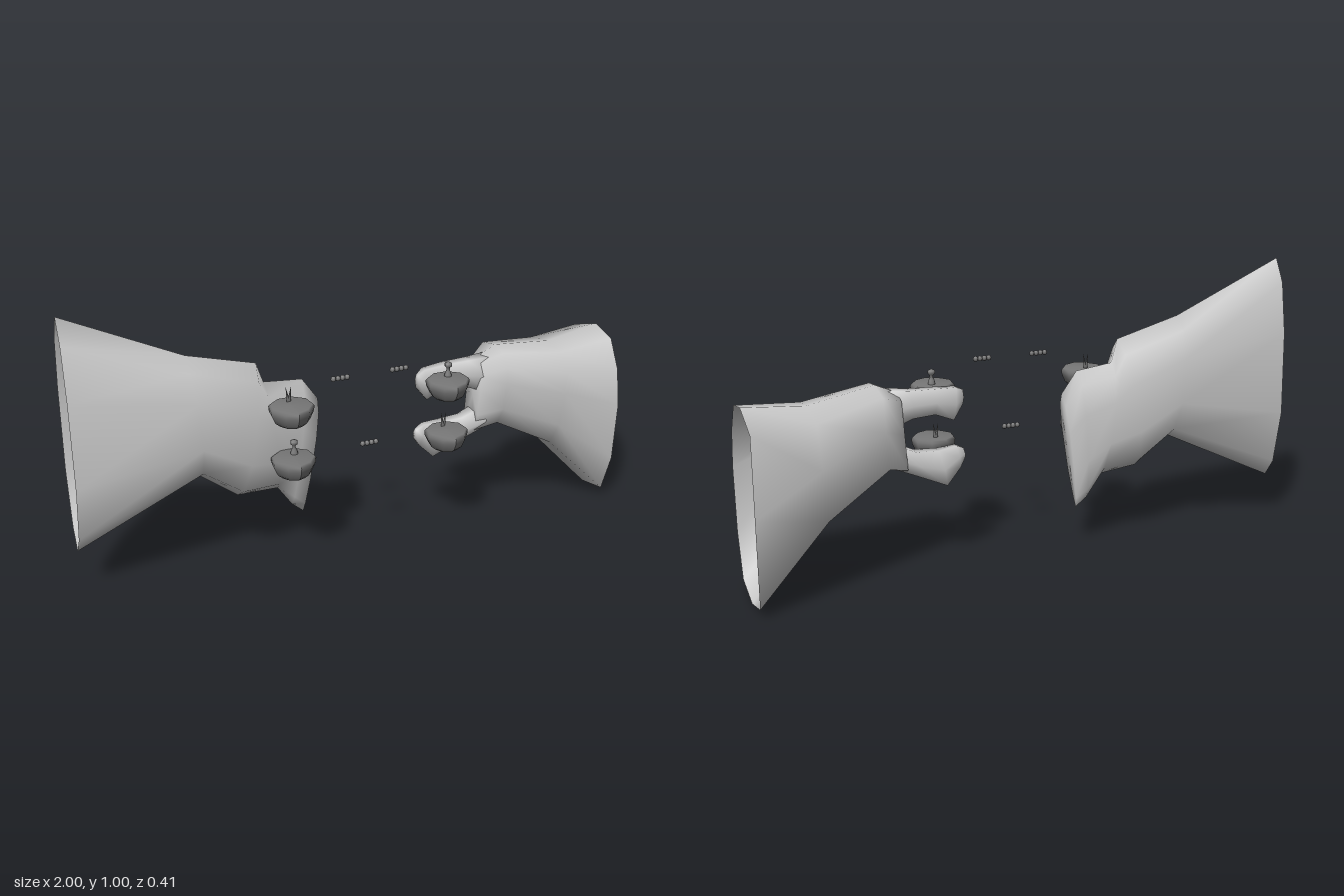
import * as THREE from 'three';

const grey = new THREE.MeshStandardMaterial({ color: 0xcccccc, side: THREE.DoubleSide });
const dark = new THREE.MeshStandardMaterial({ color: 0x777777, side: THREE.DoubleSide });

// Cross-section outlines as [height 0..1, depth -1..1]
const flatSleeve = [[1, 0], [0.9, 0.55], [0.68, 0.9], [0.32, 1], [0.08, 0.55],
  [0, 0], [0.08, -0.55], [0.32, -1], [0.68, -0.9], [0.9, -0.55]];
const deepSleeve = [[1, -0.15], [0.97, 0.5], [0.82, 0.85], [0.62, 1], [0.28, 0.92],
  [0.05, 0.6], [0, -0.2], [0.05, -1], [0.5, -1], [0.92, -1]];
const hexagon = [[1, 0.45], [0.5, 1], [0, 0.45], [0, -0.45], [0.5, -1], [1, -0.45]];

// Skin over sections [topX, topY, bottomX, bottomY, backZ, frontZ, depth scale at the bottom]
function loft(name, outline, sections, capStart = false) {
  const n = outline.length, pos = [], index = [];
  for (const [tx, ty, bx, by, zb, zf, taper = 1] of sections) {
    for (const [s, d] of outline) {
      const depth = d * (zf - zb) / 2 * (taper + (1 - taper) * s);
      pos.push(bx + (tx - bx) * s, by + (ty - by) * s, (zb + zf) / 2 + depth);
    }
  }
  const rightward = sections[sections.length - 1][0] > sections[0][0];
  const face = (a, b, c) => (rightward ? index.push(a, c, b) : index.push(a, b, c));
  for (let k = 0; k < sections.length - 1; k++) {
    for (let i = 0; i < n; i++) {
      const a = k * n + i, b = k * n + (i + 1) % n;
      face(a, b, a + n);
      face(b, b + n, a + n);
    }
  }
  const cap = (k, end) => {
    const [tx, ty, bx, by, zb, zf] = sections[k];
    const c = pos.length / 3;
    pos.push((tx + bx) / 2, (ty + by) / 2, (zb + zf) / 2);
    for (let i = 0; i < n; i++) {
      const a = k * n + i, b = k * n + (i + 1) % n;
      end ? face(a, b, c) : face(b, a, c);
    }
  };
  cap(sections.length - 1, true);
  if (capStart) cap(0, false);
  const g = new THREE.BufferGeometry();
  g.setAttribute('position', new THREE.Float32BufferAttribute(pos, 3));
  g.setIndex(index);
  g.computeVertexNormals();
  const mesh = new THREE.Mesh(g, grey);
  mesh.name = name;
  return mesh;
}

function add(group, name, geometry, x, y, z) {
  const mesh = new THREE.Mesh(geometry, dark);
  mesh.name = name;
  mesh.position.set(x, y, z);
  group.add(mesh);
  return mesh;
}

const lathe = (points, sides) =>
  new THREE.LatheGeometry(points.map(p => new THREE.Vector2(...p)), sides);

// Shallow rounded bowl with a flat top and a slightly pointed front
function bowl(name, x, y, z, topper) {
  const group = new THREE.Group();
  group.name = name;
  const body = lathe([[0, 0], [0.045, 0.002], [0.065, 0.018], [0.078, 0.045], [0.08, 0.062],
    [0.073, 0.07], [0, 0.072]], 9);
  const p = body.attributes.position;
  for (let i = 0; i < p.count; i++) {
    const pz = p.getZ(i);
    if (pz > 0) p.setX(i, p.getX(i) * (1 - pz * 3));
    p.setZ(i, pz * 0.95);
  }
  body.computeVertexNormals();
  add(group, 'bowlBody', body, 0, 0, 0);
  if (topper === 'peg') {
    add(group, 'peg', lathe([[0.014, 0], [0.011, 0.014], [0.006, 0.022], [0.006, 0.032],
      [0.013, 0.038], [0.013, 0.048], [0, 0.055]], 8), 0.01, 0.07, -0.025);
  } else {
    // Two thin blades in a V
    for (const side of [-1, 1]) {
      const blade = add(group, 'blade', new THREE.ConeGeometry(0.007, 0.06, 4), side * 0.005, 0.095, -0.03);
      blade.rotation.z = side * -0.15;
      blade.scale.z = 0.4;
    }
  }
  group.position.set(x, y, z);
  return group;
}

export function createModel() {
  const model = new THREE.Group();

  // Right arm: open sleeve running into a hand that tapers to a hanging finger
  const rightArm = new THREE.Group();
  rightArm.name = 'rightArm';
  rightArm.add(
    loft('rightSleeveAndHand', flatSleeve, [
      [-1, 1, -1, 0.165, -0.09, 0.085],
      [-0.6, 0.815, -0.57, 0.37, -0.09, 0.115],
      [-0.36, 0.75, -0.44, 0.27, -0.09, 0.11],
      [-0.33, 0.67, -0.29, 0.26, -0.088, 0.075, 0.8],
      [-0.19, 0.655, -0.235, 0.18, -0.088, 0.06, 0.5],
      [-0.135, 0.575, -0.195, 0.147, -0.06, 0.04, 0.4],
    ]));
  model.add(rightArm);

  // Left arm: open sleeve, palm and two gripping fingers
  const leftArm = new THREE.Group();
  leftArm.name = 'leftArm';
  leftArm.add(
    loft('leftSleeve', deepSleeve, [
      [1, 0.665, 1, 0, -0.21, 0.125],
      [0.78, 0.64, 0.75, 0.26, -0.16, 0.125],
      [0.54, 0.675, 0.52, 0.39, -0.09, 0.12],
      [0.46, 0.64, 0.44, 0.36, -0.035, 0.07],
    ]),
    loft('upperFinger', hexagon, [
      [0.5, 0.65, 0.48, 0.52, -0.04, 0.075],
      [0.42, 0.643, 0.41, 0.545, -0.03, 0.055],
      [0.33, 0.64, 0.33, 0.55, -0.025, 0.05],
      [0.25, 0.635, 0.26, 0.52, -0.01, 0.05],
      [0.22, 0.62, 0.22, 0.57, 0.015, 0.05],
    ], true),
    loft('lowerFinger', hexagon, [
      [0.48, 0.46, 0.48, 0.375, -0.04, 0.075],
      [0.4, 0.425, 0.39, 0.335, -0.03, 0.06],
      [0.32, 0.42, 0.29, 0.29, -0.025, 0.055],
      [0.25, 0.425, 0.235, 0.345, 0, 0.05],
      [0.22, 0.41, 0.215, 0.375, 0.015, 0.045],
    ], true));
  model.add(leftArm);

  // Bowls held by the hands
  model.add(
    bowl('rightUpperBowl', -0.277, 0.56, 0.125, 'blades'),
    bowl('rightLowerBowl', -0.273, 0.367, 0.125, 'peg'),
    bowl('leftUpperBowl', 0.297, 0.56, 0.125, 'peg'),
    bowl('leftLowerBowl', 0.297, 0.367, 0.125, 'blades'));

  // Short rows of beads between the hands
  const bead = new THREE.SphereGeometry(0.01, 6, 4);
  for (const [x, y] of [[-0.103, 0.698], [0.111, 0.698], [0.003, 0.44]]) {
    const row = new THREE.Group();
    row.name = 'beadRow';
    for (let i = 0; i < 4; i++) add(row, 'bead', bead, x + (i - 1.5) * 0.0165, y, 0.122);
    model.add(row);
  }
  return model;
}
